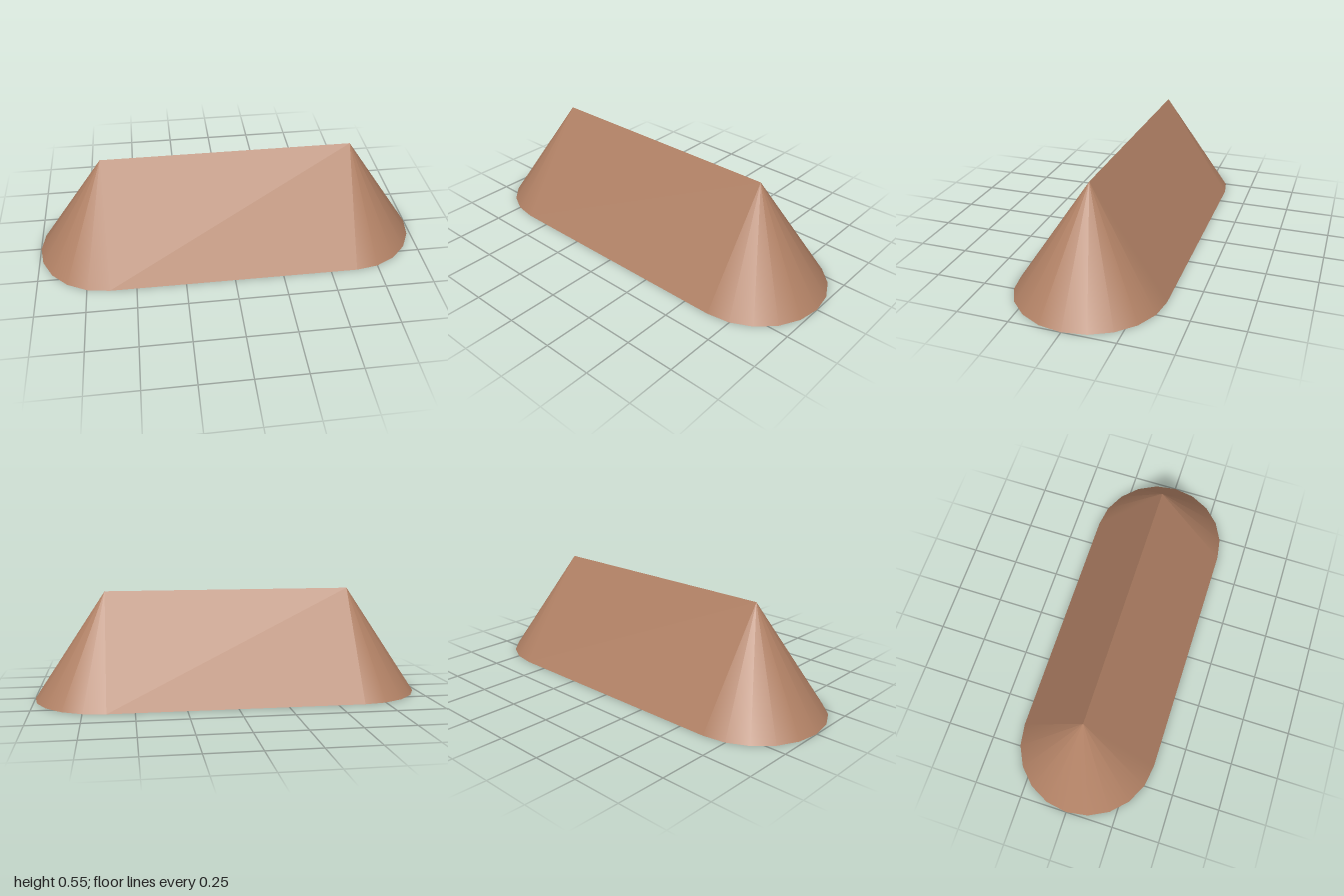
import * as THREE from 'three';

const HEIGHT = 0.545;     // ridge height
const RADIUS = 0.364;     // half width, and radius of the rounded ends
const HALF_LENGTH = 0.636; // half length of the straight ridge

export function createModel() {
  const model = new THREE.Group();
  model.name = 'ridgeTent';

  const canvas = new THREE.MeshStandardMaterial({ color: 0xb08064 });
  canvas.name = 'brown canvas';

  // straight middle: triangular section swept along the ridge
  const section = new THREE.Shape([
    new THREE.Vector2(-RADIUS, 0),
    new THREE.Vector2(RADIUS, 0),
    new THREE.Vector2(0, HEIGHT),
  ]);
  const bodyGeometry = new THREE.ExtrudeGeometry(section, {
    depth: HALF_LENGTH * 2,
    bevelEnabled: false,
  });
  bodyGeometry.translate(0, 0, -HALF_LENGTH).rotateY(Math.PI / 2);
  const body = new THREE.Mesh(bodyGeometry, canvas);
  body.name = 'tentBody';
  model.add(body);

  // rounded ends: half cones of ten sides, closed underneath
  const endGeometry = new THREE.ConeGeometry(RADIUS, HEIGHT, 10, 1, false, 0, Math.PI);
  endGeometry.translate(0, HEIGHT / 2, 0);
  for (const side of [1, -1]) {
    const end = new THREE.Mesh(endGeometry, canvas);
    end.name = side > 0 ? 'leftEnd' : 'rightEnd';
    end.position.x = side * HALF_LENGTH;
    end.rotation.y = side > 0 ? 0 : Math.PI;
    model.add(end);
  }

  return model;
}
